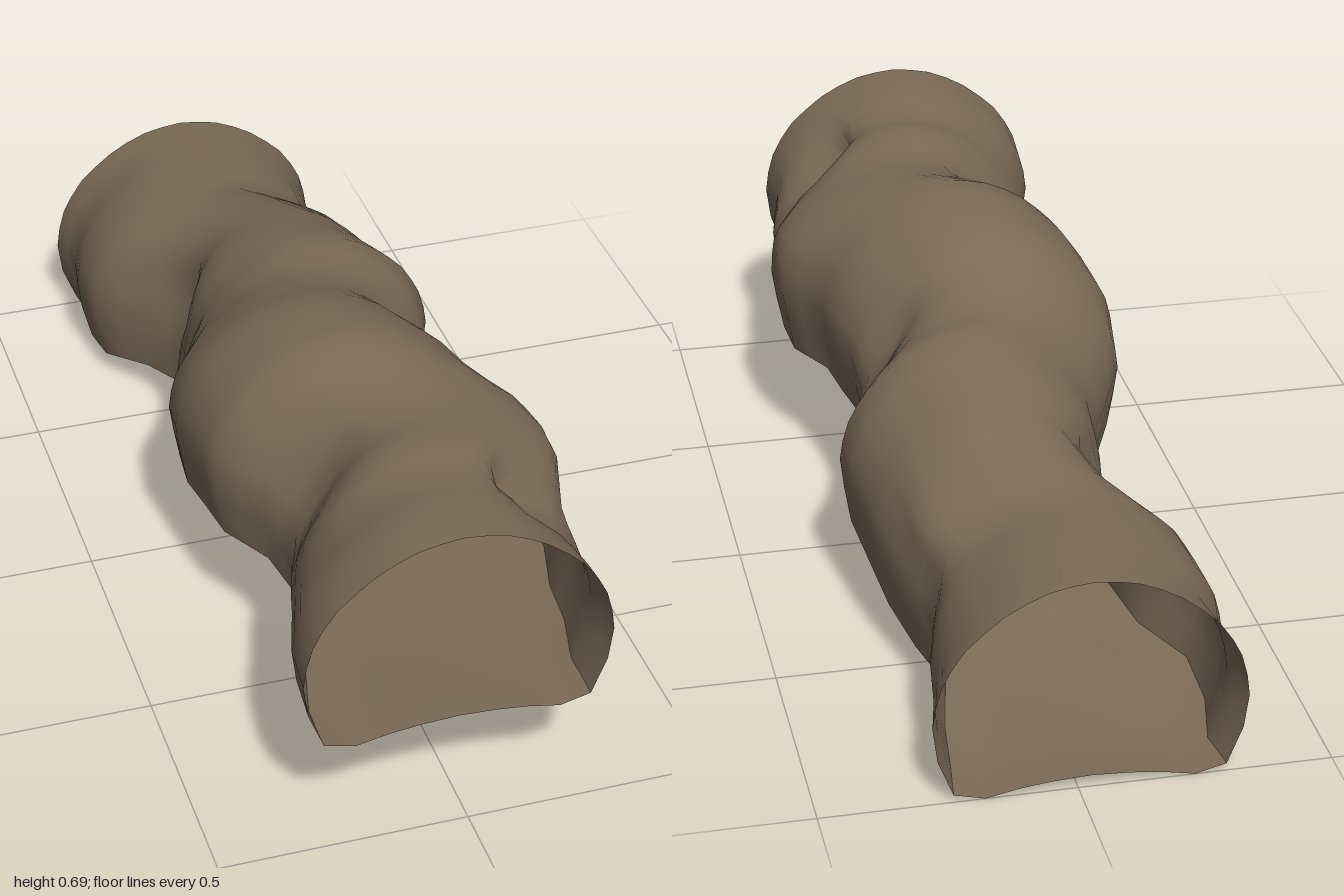
import * as THREE from 'three';

// Stations along the tunnel: z, left edge x, right edge x, crown y, floor y
const STATIONS = [
  [1, -0.33, 0.28, 0.676, 0.235], [0.89, -0.32, 0.275, 0.67, 0.237],
  [0.77, -0.285, 0.3, 0.65, 0.24], [0.67, -0.265, 0.305, 0.665, 0.244],
  [0.55, -0.235, 0.335, 0.645, 0.25], [0.43, -0.255, 0.33, 0.66, 0.255],
  [0.32, -0.315, 0.275, 0.685, 0.255], [0.22, -0.325, 0.26, 0.675, 0.25],
  [0.11, -0.335, 0.235, 0.655, 0.238], [0, -0.32, 0.235, 0.61, 0.22],
  [-0.11, -0.265, 0.275, 0.58, 0.188], [-0.21, -0.22, 0.315, 0.583, 0.17],
  [-0.34, -0.235, 0.295, 0.55, 0.13], [-0.45, -0.21, 0.28, 0.52, 0.105],
  [-0.57, -0.245, 0.25, 0.485, 0.074], [-0.68, -0.32, 0.215, 0.457, 0.05],
  [-0.8, -0.33, 0.245, 0.455, 0.025], [-0.91, -0.31, 0.26, 0.45, 0.005],
  [-1, -0.33, 0.28, 0.446, 0],
];

// Hollows (and bulges, negative depth) in the walls: side, z, length, depth, height, spread
const DENTS = [
  [1, 0.75, 0.09, 0.11, 0.75, 0.17], [1, 0.5, 0.09, -0.02, 0.65, 0.18],
  [1, -0.02, 0.12, 0.045, 0.68, 0.2], [-1, 0.52, 0.15, 0.06, 0.64, 0.3],
  [-1, -0.44, 0.14, 0.065, 0.5, 0.28], [1, -0.62, 0.12, -0.035, 0.76, 0.13],
];

// Half section of the wall from floor corner to crown (u across, v up)
const HALF_WALL = [
  [0.87, 0.035], [0.97, 0.21], [1, 0.37], [0.98, 0.47], [0.94, 0.57], [0.88, 0.65],
  [0.79, 0.74], [0.68, 0.81], [0.55, 0.88], [0.42, 0.93], [0.28, 0.97], [0.14, 0.99],
];
const mirrored = HALF_WALL.map(([u, v]) => [-u, v]).reverse();
const WALL = [...HALF_WALL, [0, 1], ...mirrored];

// Floor section, slightly raised in the middle
const FLOOR = [
  [-0.87, 0.035], [-0.67, 0], [-0.45, 0.03], [-0.25, 0.046], [0, 0.055],
  [0.25, 0.046], [0.45, 0.03], [0.67, 0], [0.87, 0.035],
];

// Two steps between neighbouring stations
function rings() {
  const out = [];
  STATIONS.forEach((s, i) => {
    out.push(s);
    const n = STATIONS[i + 1];
    if (n) out.push(s.map((a, k) => (a + n[k]) / 2));
  });
  return out;
}

function place([u, v], [z, left, right, top, base]) {
  let y = base + v * (top - base);
  // Away from the mouths the floor is wider and flatter
  if (v < 0.1) {
    const inside = 1 - z ** 4;
    u *= 1 + 0.06 * inside;
    y = base + v * (top - base) * (1 - 0.5 * inside);
  }
  let x = (left + right) / 2 + (u * (right - left)) / 2;
  for (const [side, dz, length, depth, height, spread] of DENTS) {
    const weight = Math.exp(-(((v - height) / spread) ** 2) - ((z - dz) / length) ** 2);
    if (side * u > 0 && v > 0.1) x -= side * depth * weight * Math.min(1, Math.abs(u) * 1.5);
  }
  return [x, y, z];
}

// Skin one section through all rings, faces pointing out of the tunnel
function loft(section) {
  const pos = [], index = [], n = section.length;
  rings().forEach((s, r) => {
    section.forEach((p, c) => {
      pos.push(...place(p, s));
      if (r && c) {
        const d = r * n + c, a = d - n - 1, b = d - n, e = d - 1;
        index.push(a, b, e, b, d, e);
      }
    });
  });
  const g = new THREE.BufferGeometry();
  g.setAttribute('position', new THREE.Float32BufferAttribute(pos, 3));
  g.setIndex(index);
  g.computeVertexNormals();
  return g;
}

export function createModel() {
  const model = new THREE.Group();
  model.name = 'caveTunnel';
  const rock = new THREE.MeshStandardMaterial({ color: 0x7c6a56, side: THREE.DoubleSide });
  rock.name = 'brown rock';

  const wall = new THREE.Mesh(loft(WALL), rock);
  wall.name = 'tunnelWall';
  const floor = new THREE.Mesh(loft(FLOOR), rock);
  floor.name = 'tunnelFloor';
  model.add(wall, floor);
  return model;
}
